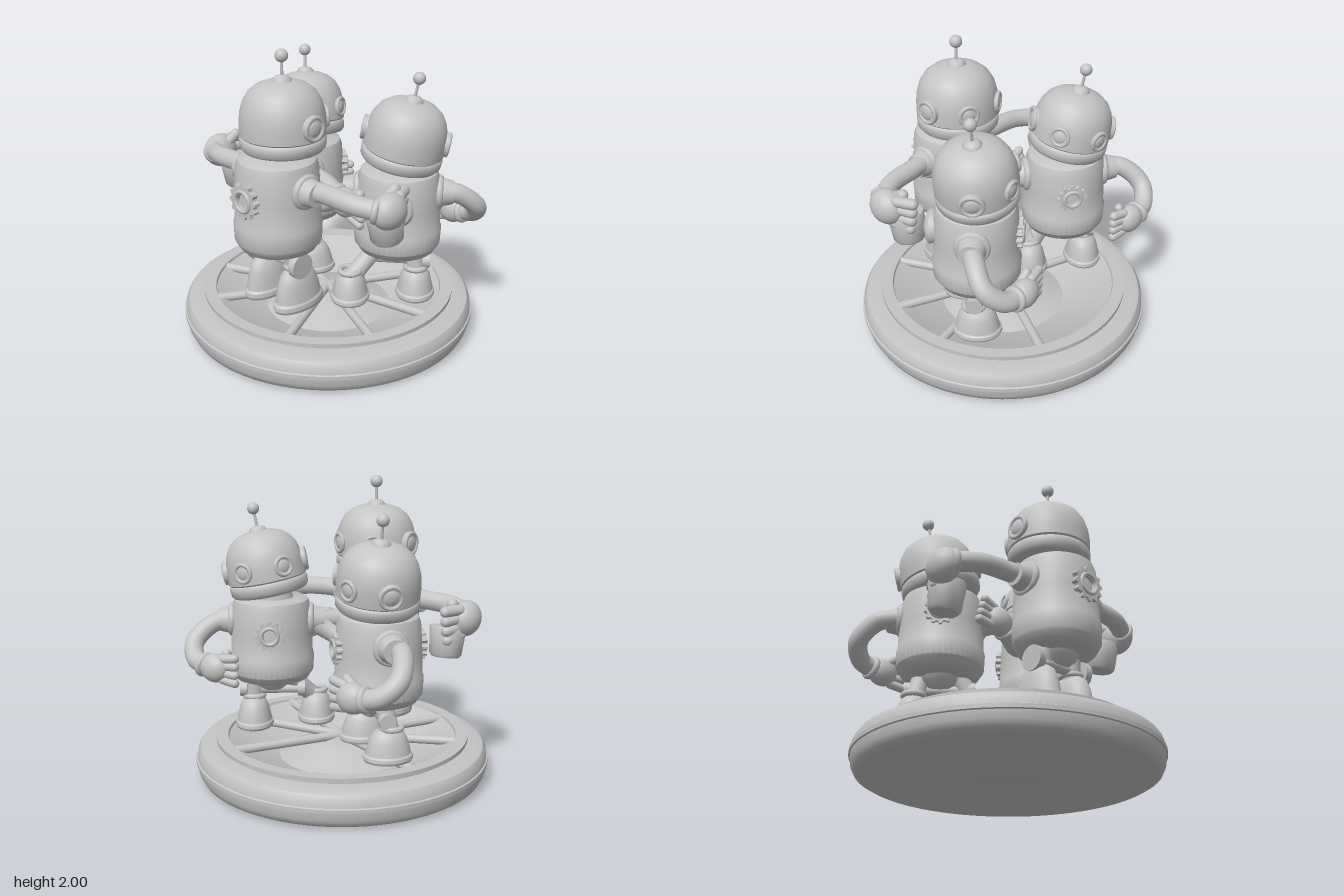
import * as THREE from 'three';
import { toCreasedNormals } from 'three/addons/utils/BufferGeometryUtils.js';

const grey = new THREE.MeshStandardMaterial({ color: 0xc4c4c4 });
grey.name = 'plain grey';
const V = (x, y, z) => new THREE.Vector3(x, y, z);

function part(parent, name, geo, x = 0, y = 0, z = 0) {
  const m = new THREE.Mesh(geo, grey);
  m.name = name;
  m.position.set(x, y, z);
  parent.add(m);
  return m;
}
function group(parent, name, x = 0, y = 0, z = 0) {
  const g = new THREE.Group();
  g.name = name;
  g.position.set(x, y, z);
  parent.add(g);
  return g;
}
const lathe = (pts, n = 48) =>
  toCreasedNormals(new THREE.LatheGeometry(pts.map(p => new THREE.Vector2(p[0], p[1])), n), 0.65);

// Straight rod between two points
function rod(parent, name, a, b, r) {
  const m = part(parent, name, new THREE.CylinderGeometry(r, r, a.distanceTo(b), 16));
  m.position.copy(a).lerp(b, 0.5);
  m.quaternion.setFromUnitVectors(V(0, 1, 0), b.clone().sub(a).normalize());
}

// Toothed gear facing +z, with a raised ring
function gear(parent, name, r) {
  const s = new THREE.Shape(), teeth = 12;
  for (let i = 0; i < teeth * 4; i++) {
    const a = (i / (teeth * 4)) * Math.PI * 2, q = i % 4 < 2 ? r : r * 0.84;
    s[i ? 'lineTo' : 'moveTo'](q * Math.cos(a), q * Math.sin(a));
  }
  s.holes.push(new THREE.Path().absarc(0, 0, r * 0.42, 0, Math.PI * 2, true));
  const g = group(parent, name);
  part(g, 'gearWheel', new THREE.ExtrudeGeometry(s, { depth: 0.04, bevelEnabled: false, curveSegments: 20 }), 0, 0, -0.025);
  part(g, 'gearRing', new THREE.TorusGeometry(r * 0.55, 0.013, 8, 28), 0, 0, 0.015);
  return g;
}

// Round eye or ear facing outward at an angle around the head
function porthole(parent, name, angle, y, radius, r) {
  const g = group(parent, name, Math.sin(angle) * radius, y, Math.cos(angle) * radius);
  g.rotation.y = angle;
  part(g, 'disc', new THREE.CylinderGeometry(r, r, 0.04, 28)).rotation.x = Math.PI / 2;
  part(g, 'rim', new THREE.TorusGeometry(r * 0.86, 0.014, 8, 32), 0, 0, 0.015);
  part(g, 'lens', new THREE.SphereGeometry(r * 0.68, 20, 10), 0, 0, 0.01).scale.z = 0.4;
}

function buildHead(parent, y, z, o) {
  const h = group(parent, 'head', 0, y, z);
  h.rotation.set(o.pitch, 0, o.roll);
  h.scale.setScalar(o.headScale);
  part(h, 'neck', new THREE.CylinderGeometry(0.14, 0.15, 0.12, 32), 0, -0.01, 0);
  part(h, 'helmet', lathe([[0, 0.01], [0.22, 0.005], [0.255, 0.015], [0.272, 0.035], [0.276, 0.085], [0.268, 0.1],
    [0.264, 0.103], [0.274, 0.113], [0.275, 0.19], [0.267, 0.26], [0.248, 0.325], [0.215, 0.38], [0.165, 0.42], [0.1, 0.445], [0, 0.456]]));
  part(h, 'cap', lathe([[0.065, 0.435], [0.062, 0.455], [0.045, 0.475], [0.02, 0.484], [0, 0.485]], 24));
  part(h, 'antennaStem', new THREE.CylinderGeometry(0.01, 0.01, 0.13, 10), 0, 0.53, 0);
  part(h, 'antennaBall', new THREE.SphereGeometry(0.042, 24, 16), 0, 0.605, 0);
  for (const s of [-1, 1]) {
    porthole(h, 'eye', s * 0.53, 0.2, 0.262, 0.07);
    porthole(h, 'ear', s * Math.PI / 2, 0.2, 0.268, 0.082);
  }
}

// Boots are scaled domes on a flared sole
function boot(parent, x, y, z, w, h, l) {
  const b = part(parent, 'boot', lathe([[0, 0], [0.97, 0], [1.02, 0.07], [1, 0.17], [0.92, 0.22], [0.87, 0.4],
    [0.77, 0.66], [0.63, 0.86], [0.4, 0.97], [0, 1]], 32), x, y, z);
  b.scale.set(w / 2, h, l / 2);
  return b;
}

function robot(parent, o) {
  const r = group(parent, o.name, o.x, 0, o.z);
  r.rotation.y = o.turn;
  const t = group(r, 'torso', 0, o.base, 0), k = o.height;
  part(t, 'body', lathe([[0, 0], [0.2, 0], [0.25, 0.02], [0.275, 0.06], [0.283, 0.12 * k], [0.288, 0.3 * k], [0.28, 0.33 * k],
    [0.276, 0.6 * k], [0.265, 0.9 * k], [0.25, 0.97 * k], [0.22, k], [0, k]]));
  part(t, 'pelvis', lathe([[0, -0.08], [0.07, -0.07], [0.12, -0.03], [0.14, 0.02]], 28));
  gear(t, 'chestGear', 0.1).position.set(0, k * 0.63, 0.28);
  if (o.backGear) {
    const back = gear(t, 'backGear', o.backGear);
    back.position.set(0, k * 0.63, -0.28);
    back.rotation.y = Math.PI;
  }
  for (const s of [-1, 1]) {
    // Shoulder socket
    part(t, 'shoulderCollar', new THREE.TorusGeometry(0.09, 0.026, 10, 28), s * 0.265, k * 0.72, 0).rotation.y = Math.PI / 2;
    part(t, 'shoulderSocket', new THREE.CylinderGeometry(0.075, 0.11, 0.14, 28), s * 0.29, k * 0.72, 0).rotation.z = -s * Math.PI / 2;
  }
  // Legs with hip bolts; each stance entry is a boot's sideways and forward offset
  const hip = o.base - 0.075;
  for (const [lx, lz] of o.stance) {
    const s = Math.sign(lx);
    rod(r, 'leg', V(s * 0.12, o.base + 0.02, 0), V(lx, o.foot + o.boot[1] * 0.7, lz), 0.06);
    part(r, 'hipBolt', new THREE.CylinderGeometry(o.bolt, o.bolt, 0.05, 20), s * 0.2, hip, 0).rotation.z = Math.PI / 2;
    part(r, 'ankleCuff', new THREE.TorusGeometry(0.065, 0.02, 8, 24), lx, o.foot + o.boot[1], lz).rotation.x = Math.PI / 2;
    boot(r, lx, o.foot, lz + 0.02, ...o.boot).rotation.x = o.tilt;
  }
  part(r, 'hipAxle', new THREE.CylinderGeometry(0.035, 0.035, 0.4, 16), 0, hip, 0).rotation.z = Math.PI / 2;
  buildHead(r, o.base + k + 0.02, o.lean, o);
}

// Chunky hand pointing along dir, fingers fanned vertically and curling by bend, thumb on the upper side
function hand(parent, pos, dir, bend, size) {
  const h = group(parent, 'hand');
  const d = dir.clone().normalize(), side = V(0, 1, 0).cross(d).normalize();
  h.quaternion.setFromRotationMatrix(new THREE.Matrix4().makeBasis(side, d.clone().cross(side), d));
  h.position.copy(pos);
  h.scale.setScalar(size);
  part(h, 'palm', new THREE.SphereGeometry(0.1, 24, 16)).scale.set(0.8, 0.97, 1.05);
  for (let i = 0; i < 4; i++) {
    const f = group(h, 'finger', 0, (i - 1.5) * 0.046, 0.06);
    f.rotation.set(-(i - 1.5) * 0.1, bend, 0);
    part(f, 'fingerTube', new THREE.CapsuleGeometry(0.03, 0.09, 6, 12), 0, 0, 0.05).rotation.x = Math.PI / 2;
  }
  const t = part(h, 'thumb', new THREE.CapsuleGeometry(0.03, 0.06, 6, 12), Math.sign(bend) * 0.04, 0.08, 0.045);
  t.rotation.x = 0.9;
}

function arm(parent, name, pts, dir, bend, size = 1) {
  const g = group(parent, name), curve = new THREE.CatmullRomCurve3(pts);
  part(g, 'sleeve', new THREE.TubeGeometry(curve, 32, 0.064, 18));
  const cuff = part(g, 'cuff', new THREE.TorusGeometry(0.06, 0.024, 10, 24));
  cuff.position.copy(curve.getPoint(0.94));
  cuff.quaternion.setFromUnitVectors(V(0, 0, 1), curve.getTangent(0.94));
  hand(g, pts[pts.length - 1].clone().addScaledVector(dir.clone().normalize(), 0.06), dir, bend, size);
}

export function createModel() {
  const model = new THREE.Group();
  model.name = 'robotTrio';

  // Round pedestal with a ring-shaped hollow around a raised centre
  part(model, 'pedestal', lathe([[0, 0], [0.93, 0], [0.965, 0.02], [0.985, 0.06], [0.99, 0.11], [1, 0.115], [1, 0.14], [0.99, 0.145],
    [0.985, 0.19], [0.965, 0.22], [0.93, 0.232], [0.83, 0.235], [0.83, 0.252], [0.86, 0.255], [0.86, 0.282], [0.78, 0.282],
    [0.775, 0.265], [0.6, 0.18], [0.43, 0.12], [0.2, 0.2], [0, 0.26]], 96));

  // Spokes over the hollow
  for (const deg of [30, 80, 115, 155, 210, 245, 290]) {
    const a = deg * Math.PI / 180;
    rod(model, 'spoke', V(0, 0.245, 0), V(0.78 * Math.cos(a), 0.25, 0.78 * Math.sin(a)), 0.03);
  }

  // Tall robot on the right, two smaller ones on the left
  robot(model, { name: 'tallRobot', x: -0.46, z: 0, turn: Math.PI / 2, base: 0.7, height: 0.63, foot: 0.32, backGear: 0.12,
    stance: [[-0.14, 0.02], [0.14, 0.02]], boot: [0.23, 0.28, 0.39], tilt: -0.06, bolt: 0.085,
    lean: 0.055, pitch: 0, roll: 0, headScale: 1 });
  const small = { base: 0.62, height: 0.58, foot: 0.285, boot: [0.26, 0.21, 0.32], tilt: 0, bolt: 0.055, lean: 0.015, headScale: 0.965 };
  robot(model, { ...small, name: 'frontRobot', x: 0.185, z: 0.46, turn: Math.PI * 127 / 180, pitch: -0.05, roll: 0.19,
    stance: [[-0.13, -0.01], [0.3, -0.13]] });
  robot(model, { ...small, name: 'rearRobot', x: 0.19, z: -0.42, turn: Math.PI * 50 / 180, pitch: 0, roll: -0.2, backGear: 0.1,
    stance: [[-0.24, 0.01], [0.16, -0.04]] });
  // Round plate on the front robot's back
  const plate = part(model, 'backPlate', lathe([[0.11, -0.03], [0.115, 0.01], [0.095, 0.03], [0.07, 0.03], [0.05, 0.045], [0, 0.05]], 28), -0.04, 1.01, 0.63);
  plate.quaternion.setFromUnitVectors(V(0, 1, 0), V(-0.8, 0, 0.6));

  for (const s of [1, -1]) {
    // Tall robot's arms, each holding a cup
    arm(model, 'cupArm', [V(-0.46, 1.16, s * 0.22), V(-0.435, 1.17, s * 0.4), V(-0.42, 1.16, s * 0.6), V(-0.34, 1.135, s * 0.78)],
      V(0.9, -0.15, s * 0.02), s * 0.45, 1.2);
    const cup = part(model, 'cup', lathe([[0, -0.1], [0.09, -0.1], [0.105, -0.08], [0.12, 0.09], [0.115, 0.1], [0, 0.1]], 32), -0.2, 0.975, s * 0.69);
    cup.rotation.z = 0.15;
    // Outer arms of the smaller robots
    arm(model, 'outerArm', [V(0.32, 1.04, s * 0.64), V(0.44, 1.02, s * 0.755), V(0.57, 0.91, s * 0.81), V(0.65, 0.82, s * 0.73), V(0.665, 0.79, s * 0.61)],
      V(-0.05, -0.02, -s), s * 0.15);
  }
  // Inner arms around each other's backs
  arm(model, 'innerArm', [V(0.05, 1.04, -0.23), V(-0.05, 1.06, -0.1), V(-0.08, 1.05, 0.05), V(-0.13, 1.01, 0.23)], V(-0.1, -0.3, 1), 0.15);
  arm(model, 'innerArm', [V(0.05, 1.04, 0.25), V(-0.04, 0.95, 0.12), V(-0.08, 0.89, 0), V(-0.13, 0.97, -0.15)], V(-0.15, 0.3, -1), -0.15);
  return model;
}
